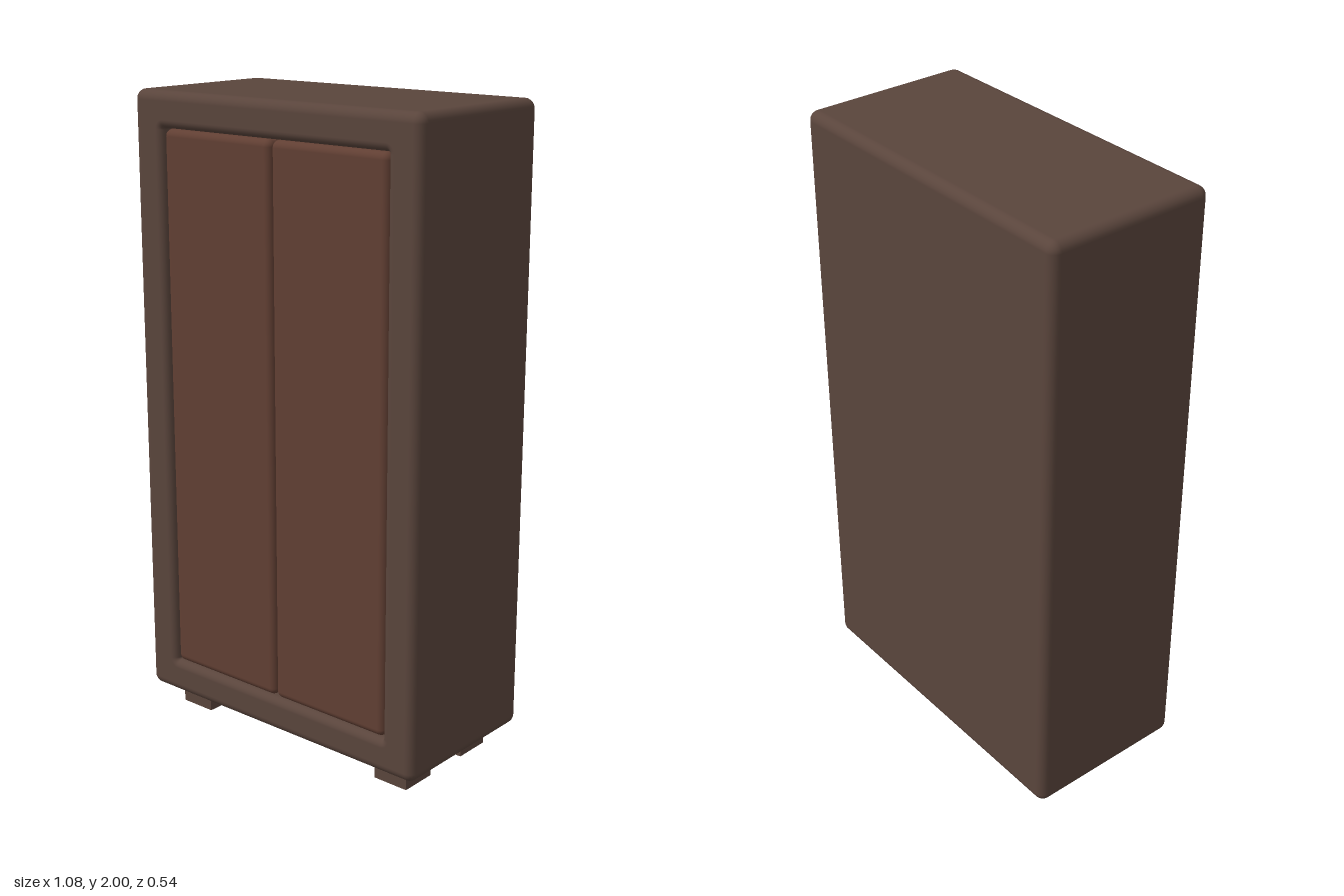
import * as THREE from 'three';
import { RoundedBoxGeometry } from 'three/addons/geometries/RoundedBoxGeometry.js';

const CORNER = 6; // segments per rounded corner
const ARC = 6;    // segments per rounded edge

// Skin through rounded-rectangle rings, each {w, h: half size of core, r: corner radius, z, out, nz: normal}
function loftRings(rings) {
  const pos = [], nor = [], idx = [];
  const n = 4 * (CORNER + 1);
  for (const { w, h, r, z, out, nz } of rings) {
    for (let q = 0; q < 4; q++) {
      const sx = q === 0 || q === 3 ? 1 : -1, sy = q < 2 ? 1 : -1;
      for (let k = 0; k <= CORNER; k++) {
        const a = (q + k / CORNER) * Math.PI / 2;
        const c = Math.cos(a), s = Math.sin(a);
        pos.push(sx * w + r * c, sy * h + r * s, z);
        nor.push(out * c, out * s, nz);
      }
    }
  }
  for (let i = 0; i < rings.length - 1; i++) {
    for (let j = 0; j < n; j++) {
      const a = i * n + j, b = i * n + (j + 1) % n;
      idx.push(a, b, b + n, a, b + n, a + n);
    }
  }
  const g = new THREE.BufferGeometry();
  g.setAttribute('position', new THREE.Float32BufferAttribute(pos, 3));
  g.setAttribute('normal', new THREE.Float32BufferAttribute(nor, 3));
  g.setIndex(idx);
  return g;
}

// Closed case with rounded edges and a recessed, round-edged opening in front
function caseGeometry() {
  const R = 0.03, W = 0.54 - R, H = 0.965 - R, Z = 0.27;
  const ow = 0.42, oh = 0.85, r0 = 0.005, r1 = 0.025;
  const rings = [{ w: 0, h: 0, r: 0, z: -Z, out: 0, nz: -1 }];
  const arc = (from, to, make) => {
    for (let i = 0; i <= ARC; i++) make(from + (to - from) * i / ARC);
  };
  const edge = (side) => (t) => rings.push({
    w: W, h: H, r: R * Math.cos(t), z: side * (Z - R) + R * Math.sin(t), out: Math.cos(t), nz: Math.sin(t),
  });
  arc(-Math.PI / 2, 0, edge(-1));
  arc(0, Math.PI / 2, edge(1));
  // rounded rim of the opening
  arc(Math.PI / 2, 0, (t) => rings.push({
    w: ow, h: oh, r: r0 + r1 * (1 - Math.cos(t)), z: Z - r1 + r1 * Math.sin(t), out: -Math.cos(t), nz: Math.sin(t),
  }));
  // straight wall and inner panel
  const zi = Z - 0.07;
  rings.push({ w: ow, h: oh, r: r0, z: zi, out: -1, nz: 0 });
  rings.push({ w: ow, h: oh, r: r0, z: zi, out: 0, nz: 1 });
  rings.push({ w: 0, h: 0, r: 0, z: zi, out: 0, nz: 1 });
  return loftRings(rings);
}

export function createModel() {
  const group = new THREE.Group();
  group.name = 'wardrobe';
  const caseWood = new THREE.MeshStandardMaterial({ color: 0x5a453c });
  const doorWood = new THREE.MeshStandardMaterial({ color: 0x613f33 });

  const add = (name, geometry, material, x, y, z) => {
    const mesh = new THREE.Mesh(geometry, material);
    mesh.name = name;
    mesh.position.set(x, y, z);
    group.add(mesh);
  };

  add('case', caseGeometry(), caseWood, 0, 1.035, 0);

  // Two doors and four feet, mirrored about the middle
  const door = new RoundedBoxGeometry(0.424, 1.708, 0.08, 4, 0.022);
  const foot = new THREE.BoxGeometry(0.12, 0.08, 0.12);
  for (const [side, sx] of [['left', 1], ['right', -1]]) {
    add(side + 'Door', door, doorWood, sx * 0.2125, 1.035, 0.222);
    for (const [end, sz] of [['Front', 1], ['Back', -1]]) {
      add(side + end + 'Foot', foot, caseWood, sx * 0.404, 0.04, sz * 0.137);
    }
  }
  return group;
}
